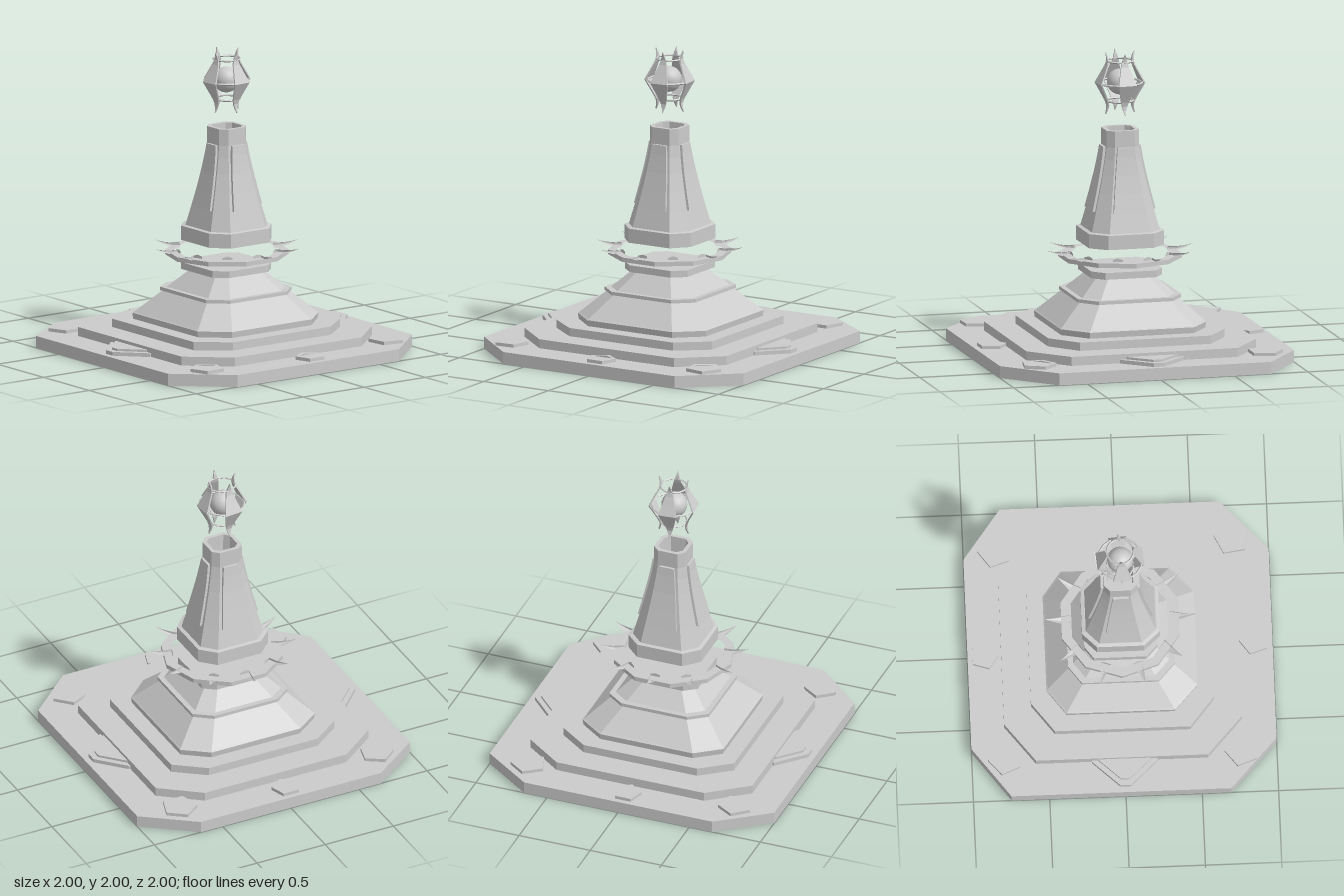
import * as THREE from 'three';

const flat = new THREE.MeshStandardMaterial({ color: 0xcccccc, flatShading: true });
const smooth = new THREE.MeshStandardMaterial({ color: 0xcccccc });

function add(parent, name, geometry, material = flat) {
  const mesh = new THREE.Mesh(geometry, material);
  mesh.name = name;
  parent.add(mesh);
  return mesh;
}

// Linear interpolation in a list of [key, value] pairs
function lookup(table, k) {
  for (let i = 1; i < table.length; i++) {
    const [k0, v0] = table[i - 1], [k1, v1] = table[i];
    if (k <= k1) return v0 + (v1 - v0) * (k - k0) / (k1 - k0);
  }
  return table[table.length - 1][1];
}

// Stacks chamfered-square sections [half width, y]; ax, back, front are where the corners start
function loft(sections, ax, back, front) {
  const outline = [[1, front], [ax, 1], [-ax, 1], [-1, front], [-1, -back], [-ax, -1], [ax, -1], [1, -back]];
  const pos = [], index = [], n = 8, last = (sections.length - 1) * n;
  for (const [h, y] of sections) for (const [x, z] of outline) pos.push(x * h, y, z * h);
  for (let s = 0; s < last; s += n) {
    for (let i = 0; i < n; i++) {
      const a = s + i, b = s + (i + 1) % n;
      index.push(a, a + n, b + n, a, b + n, b);
    }
  }
  for (let i = 1; i < n - 1; i++) {
    index.push(0, i, i + 1, last, last + i + 1, last + i);
  }
  const g = new THREE.BufferGeometry();
  g.setAttribute('position', new THREE.Float32BufferAttribute(pos, 3));
  g.setIndex(index);
  const out = g.toNonIndexed();
  out.computeVertexNormals();
  return out;
}

// Moves every vertex by a rule
function reshape(geometry, rule) {
  const p = geometry.attributes.position;
  for (let i = 0; i < p.count; i++) p.setXYZ(i, ...rule(p.getX(i), p.getY(i), p.getZ(i)));
  geometry.computeVertexNormals();
  return geometry;
}

// Upright plate from [x, z] points, with an optional hole
function plate(points, hole, y, height) {
  const toV = ([x, z]) => new THREE.Vector2(x, -z);
  const shape = new THREE.Shape(points.map(toV));
  if (hole) shape.holes.push(new THREE.Path(hole.map(toV)));
  return new THREE.ExtrudeGeometry(shape, { depth: height, bevelEnabled: false })
    .rotateX(-Math.PI / 2).translate(0, y, 0);
}

function polygon(sides, r, degrees) {
  return Array.from({ length: sides }, (_, i) => {
    const a = degrees * Math.PI / 180 + i / sides * Math.PI * 2;
    return [Math.cos(a) * r, Math.sin(a) * r];
  });
}

export function createModel() {
  const model = new THREE.Group();
  model.name = 'monument';

  // Stepped base
  add(model, 'baseSlab', loft([[1, 0], [1, 0.08]], 0.66, 0.75, 0.69));
  add(model, 'middleStep', loft([[0.78, 0.08], [0.78, 0.14]], 0.665, 0.745, 0.7));
  add(model, 'upperStep', loft([[0.6, 0.14], [0.6, 0.195]], 0.665, 0.75, 0.73));

  // Pentagon frames: x, z, radius, rotation
  const frames = [
    [-0.74, -0.78, 0.115, -22], [0.71, -0.79, 0.12, -90], [-0.74, 0.77, 0.115, -20],
    [0.74, 0.76, 0.12, -8], [0.02, 0.88, 0.1, -90], [-0.02, -0.89, 0.095, 90],
  ];
  for (const [x, z, r, turn] of frames) {
    add(model, 'pentagonFrame', plate(polygon(5, r, turn), polygon(5, r * 0.72, turn), 0.08, 0.022))
      .position.set(x, 0, z);
  }

  // Pointed plates at the left and right
  for (const side of [1, -1]) {
    const tip = [[0.2, 0.035], [0.03, 0.215], [-0.12, 0.215], [-0.12, -0.215], [0.03, -0.215], [0.2, -0.035]];
    const outer = tip.map(([x, z]) => [side * x, z]);
    const inner = outer.map(([x, z]) => [x * 0.8, z * 0.8]);
    add(model, 'sidePlate', plate(outer, null, 0.08, 0.025)).position.x = side * 0.76;
    add(model, 'sidePlateInset', plate(inner, null, 0.1, 0.02)).position.x = side * 0.76;
  }

  // Sloping pedestal with a band and a cap
  add(model, 'pedestal', loft([
    [0.49, 0.195], [0.495, 0.235], [0.485, 0.243], [0.335, 0.387], [0.35, 0.387], [0.35, 0.41],
    [0.315, 0.41], [0.19, 0.53], [0.24, 0.53], [0.24, 0.575],
  ], 0.66, 0.75, 0.69));

  // Floating ten-sided ring with curved thorns
  const crown = new THREE.Group();
  crown.name = 'thornRing';
  model.add(crown);
  add(crown, 'ring', plate(polygon(10, 0.405, 0), polygon(10, 0.345, 0), 0.63, 0.03));
  for (let i = 0; i < 10; i++) {
    const thorn = reshape(new THREE.ConeGeometry(1, 1, 6, 5), (x, y, z) => {
      const t = y + 0.5;
      return [x * 0.038, 0.664 + 0.031 * t * t + z * 0.02, 0.33 + 0.165 * t];
    });
    add(crown, 'thorn', thorn).rotation.y = i * Math.PI / 5;
  }

  // Hollow-topped tower
  const body = [[0.83, 0.23], [0.96, 0.197], [1.08, 0.168], [1.2, 0.141], [1.3, 0.122], [1.38, 0.111]];
  add(model, 'tower', loft([
    [0.255, 0.73], [0.255, 0.825], [0.235, 0.83], ...body.map(([y, h]) => [h, y]),
    [0.11, 1.49], [0.085, 1.49], [0.08, 1.32],
  ], 0.62, 0.63, 0.58));

  // Raised panels following the tower faces
  for (let i = 0; i < 4; i++) {
    const panel = reshape(new THREE.BoxGeometry(1, 1, 1, 1, 7, 1), (x, y, z) => {
      const t = y + 0.5, h = 0.96 + 0.42 * t;
      return [x * (0.2 - 0.1 * t), h, lookup(body, h) + 0.004 + z * 0.026];
    });
    add(model, 'towerPanel', panel).rotation.y = i * Math.PI / 2;
  }

  // Floating orb in a cage of four pointed blades
  const lantern = new THREE.Group();
  lantern.name = 'lantern';
  model.add(lantern);
  add(lantern, 'orb', new THREE.SphereGeometry(0.085, 24, 16), smooth).position.set(-0.005, 1.8, 0);
  const bend = [[0, 0.15], [0.35, 0.115], [0.65, 0.086], [0.8, 0.086], [1, 0.1]];
  for (let i = 0; i < 4; i++) {
    const blade = reshape(new THREE.BoxGeometry(1, 1, 1, 1, 14, 1), (x, y, z) => {
      const u = Math.abs(2 * y);
      return [x * 0.125 * (1 - u), 1.795 + 0.205 * 2 * y, lookup(bend, u) + z * 0.01];
    });
    add(lantern, 'blade', blade).rotation.y = i * Math.PI / 2 + 0.08;
  }
  for (const [y, r] of [[1.94, 0.088], [1.795, 0.146], [1.675, 0.088]]) {
    const hoop = add(lantern, 'hoop', new THREE.TorusGeometry(r, 0.007, 4, 16));
    hoop.rotation.x = Math.PI / 2;
    hoop.position.y = y;
  }

  return model;
}
